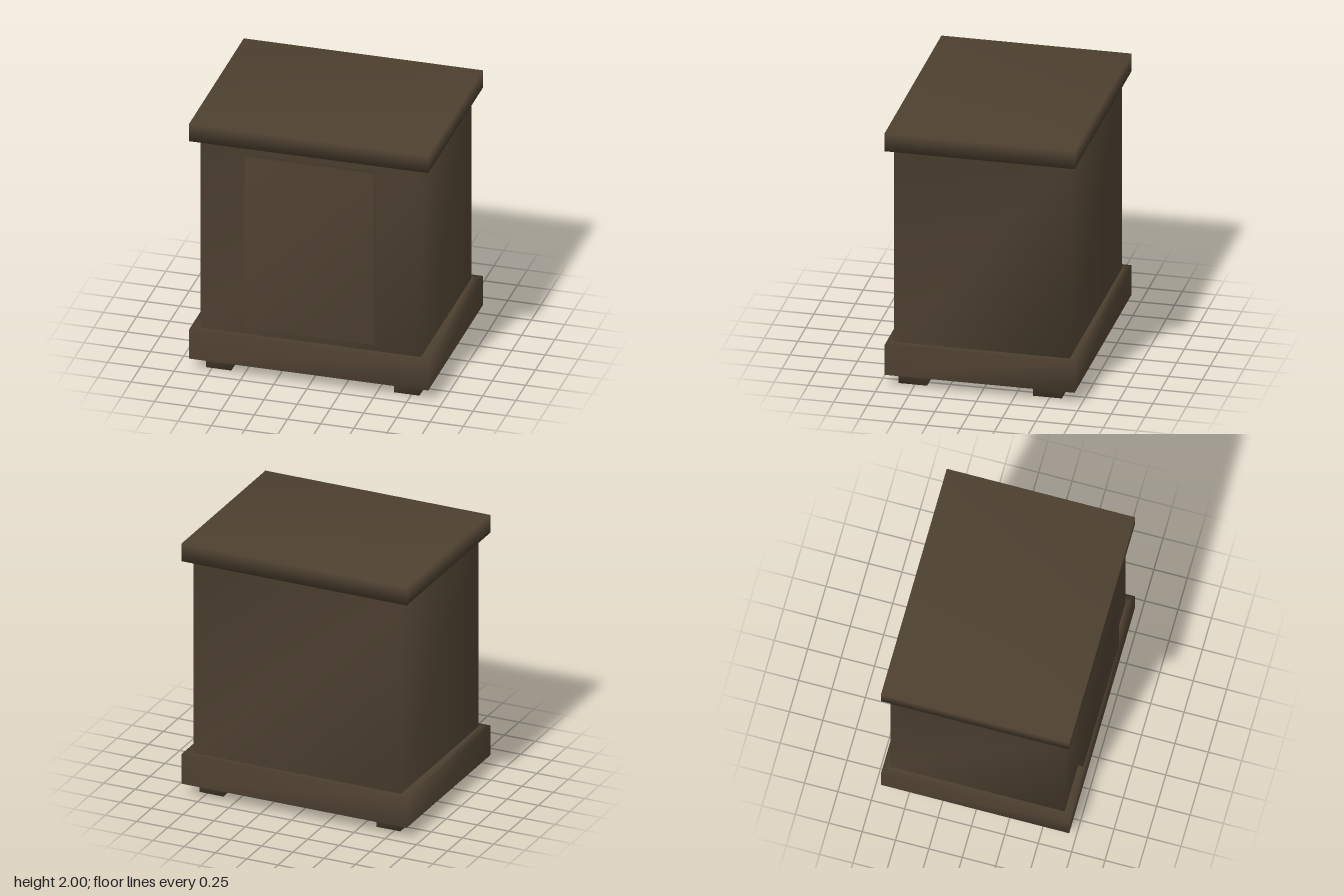
import * as THREE from 'three';
import { mergeVertices } from 'three/addons/utils/BufferGeometryUtils.js';

// Weld corners so that normals are averaged softly across the edges
function soften(geometry) {
  geometry.deleteAttribute('uv');
  geometry.deleteAttribute('normal');
  const welded = mergeVertices(geometry, 1e-4);
  welded.computeVertexNormals();
  return welded;
}

// Box given by its minimum and maximum corners
function softBox(x0, x1, y0, y1, z0, z1) {
  const box = new THREE.BoxGeometry(x1 - x0, y1 - y0, z1 - z0);
  box.translate((x0 + x1) / 2, (y0 + y1) / 2, (z0 + z1) / 2);
  return soften(box);
}

// Open shell through rectangular cross-sections [halfX, y, halfZ]
function rectShell(rows) {
  const corners = [[-1, 1], [1, 1], [1, -1], [-1, -1]];
  const positions = [];
  const index = [];
  rows.forEach(([hx, y, hz], r) => {
    corners.forEach(([sx, sz], i) => {
      positions.push(sx * hx, y, sz * hz);
      if (r === 0) return;
      const j = (i + 1) % 4;
      const a = (r - 1) * 4 + i, b = (r - 1) * 4 + j;
      const c = r * 4 + j, d = r * 4 + i;
      index.push(a, b, c, a, c, d);
    });
  });
  const geometry = new THREE.BufferGeometry();
  geometry.setAttribute('position', new THREE.Float32BufferAttribute(positions, 3));
  geometry.setIndex(index);
  geometry.computeVertexNormals();
  return geometry;
}

export function createModel() {
  const model = new THREE.Group();
  model.name = 'bedsideCabinet';

  const wood = new THREE.MeshStandardMaterial({ color: 0x4d4030, side: THREE.DoubleSide });
  wood.name = 'darkWood';

  const add = (name, geometry) => {
    const mesh = new THREE.Mesh(geometry, wood);
    mesh.name = name;
    model.add(mesh);
  };

  // Hollow plinth, open underneath, with a ledge up to the body
  add('plinth', rectShell([[0.9, 0.095, 0.705], [0.9, 0.33, 0.705], [0.83, 0.33, 0.652]]));

  // Cabinet walls
  add('body', rectShell([[0.83, 0.33, 0.652], [0.83, 1.86, 0.652]]));

  // Overhanging top slab
  add('top', softBox(-0.9, 0.9, 1.86, 2, -0.705, 0.705));

  // Door set through the front wall
  add('door', softBox(-0.485, 0.485, 0.4, 1.785, 0.61, 0.697));

  // Four short feet
  for (const [side, x] of [['Right', -0.795], ['Left', 0.62]]) {
    for (const [end, z] of [['front', 0.41], ['back', -0.59]]) {
      add(`${end}${side}Foot`, softBox(x, x + 0.19, 0, 0.17, z, z + 0.213));
    }
  }

  return model;
}
